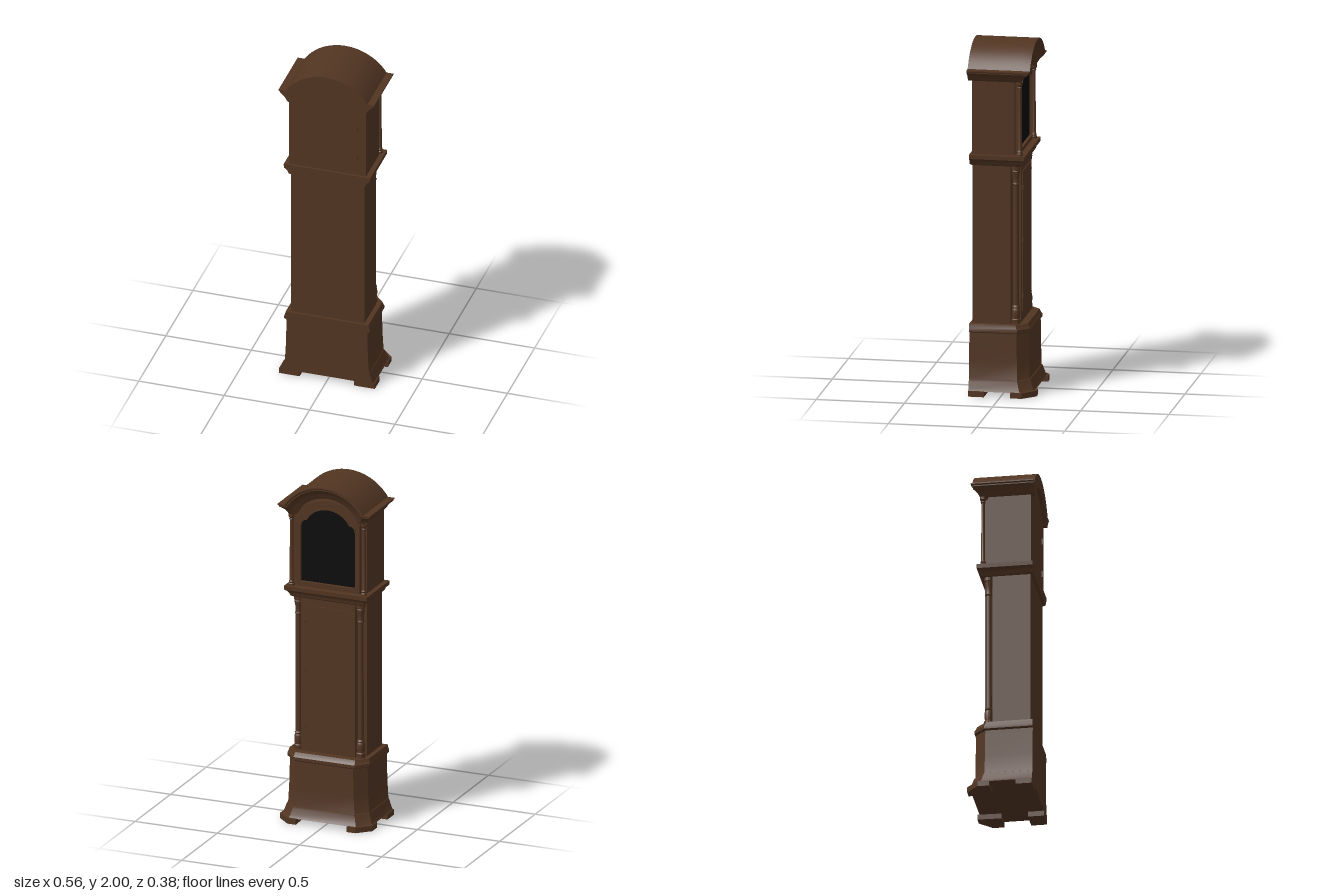
import * as THREE from 'three';
import { toCreasedNormals } from 'three/addons/utils/BufferGeometryUtils.js';

export function createModel() {
  const clock = new THREE.Group();
  clock.name = 'longcaseClock';
  const wood = new THREE.MeshStandardMaterial({ color: 0x523522 });
  wood.name = 'darkWood';
  const glass = new THREE.MeshStandardMaterial({ color: 0x0a0a0a });
  glass.name = 'blackGlass';

  const add = (name, geo, mat = wood) => {
    const mesh = new THREE.Mesh(geo, mat);
    mesh.name = name;
    clock.add(mesh);
    return mesh;
  };
  const box = (name, x0, x1, y0, y1, z0, z1) => {
    const geo = new THREE.BoxGeometry(x1 - x0, y1 - y0, z1 - z0);
    add(name, geo.translate((x0 + x1) / 2, (y0 + y1) / 2, (z0 + z1) / 2));
  };

  // Skin over rows of points; closed rows can be capped at both ends
  const skin = (rows, closed) => {
    const n = rows[0].length, pos = [], idx = [];
    rows.forEach((r) => r.forEach((p) => pos.push(...p)));
    for (let k = 0; k < rows.length - 1; k++) {
      for (let j = 0; j < (closed ? n : n - 1); j++) {
        const a = k * n + j, b = k * n + (j + 1) % n;
        idx.push(a, b, b + n, a, b + n, a + n);
      }
    }
    if (closed) {
      const t = (rows.length - 1) * n;
      for (let i = 1; i < n - 1; i++) idx.push(t, t + i, t + i + 1, 0, i + 1, i);
    }
    const geo = new THREE.BufferGeometry();
    geo.setAttribute('position', new THREE.Float32BufferAttribute(pos, 3));
    geo.setIndex(idx);
    return toCreasedNormals(geo, 0.5);
  };
  // Stack of footprints with chamfered face corners: [y, x, zFace, zRear, chamfer]
  const loft = (name, levels) => add(name, skin(levels.map(([y, x, zf, zb, c]) => [
    [x, y, zb], [x, y, zf + c], [x - c, y, zf], [c - x, y, zf], [-x, y, zf + c], [-x, y, zb],
  ]), true));

  const toShape = (pts) => new THREE.Shape(pts.map(([x, y]) => new THREE.Vector2(x, y)));
  const extrude = (shape, z0, z1) => toCreasedNormals(
    new THREE.ExtrudeGeometry(shape, { depth: z1 - z0, bevelEnabled: false }).translate(0, 0, z0), 0.5);
  // Upright prism from a footprint of [x, z] points
  const prism = (pts, y0, y1) => new THREE.ExtrudeGeometry(
    toShape(pts.map(([x, z]) => [x, -z])), { depth: y1 - y0, bevelEnabled: false })
    .rotateX(-Math.PI / 2).translate(0, y0, 0);
  // Arch with level shoulders, running from +x to -x
  const arch = (half, a, y, rise, n = 24) => {
    const R = (a * a + rise * rise) / (2 * rise), t = Math.asin(a / R), pts = [[half, y]];
    for (let i = 0; i <= n; i++) {
      const q = t * (1 - 2 * i / n);
      pts.push([R * Math.sin(q), y + rise - R + R * Math.cos(q)]);
    }
    pts.push([-half, y]);
    return pts;
  };

  // Bracket feet
  for (const s of [1, -1]) {
    add('faceFoot', prism([[0.16, -0.06], [0.28, -0.06], [0.28, -0.125], [0.207, -0.195], [0.155, -0.195]]
      .map(([x, z]) => [s * x, z]), 0, 0.032));
    box('rearFoot', s > 0 ? 0.16 : -0.28, s > 0 ? 0.28 : -0.16, 0, 0.032, 0.09, 0.18);
  }

  // Plinth with flared skirt and top moulding
  loft('plinth', [
    [0.03, 0.274, -0.183, 0.18, 0.069], [0.045, 0.265, -0.172, 0.18, 0.067],
    [0.08, 0.254, -0.162, 0.18, 0.065], [0.092, 0.249, -0.158, 0.18, 0.065],
    [0.094, 0.246, -0.153, 0.18, 0.062], [0.2, 0.24, -0.152, 0.18, 0.062],
    [0.365, 0.236, -0.15, 0.18, 0.062],
  ]);
  loft('plinthMoulding', [
    [0.36, 0.238, -0.151, 0.18, 0.062], [0.366, 0.25, -0.157, 0.18, 0.064],
    [0.384, 0.25, -0.157, 0.18, 0.064], [0.392, 0.246, -0.15, 0.18, 0.062],
    [0.41, 0.242, -0.142, 0.18, 0.06],
  ]);

  // Trunk with notched face corners
  const side = [[0.215, 0.165], [0.215, -0.05], [0.19, -0.05], [0.165, -0.075], [0.165, -0.1]];
  add('trunk', prism([...side, ...side.map(([x, z]) => [-x, z]).reverse()], 0.405, 1.325));
  box('trunkDoor', -0.135, 0.135, 0.47, 1.27, -0.105, -0.09);
  for (const y of [0.56, 0.88, 1.18]) box('trunkDoorHinge', 0.132, 0.142, y - 0.012, y + 0.012, -0.109, -0.095);

  // Columns set into the trunk corners, and free columns on the hood
  const lathe = (pts, seg) => toCreasedNormals(
    new THREE.LatheGeometry(pts.map(([r, y]) => new THREE.Vector2(r, y)), seg), 0.5);
  const trunkColumn = lathe([
    [0, 0.41], [0.026, 0.41], [0.026, 0.435], [0.021, 0.44], [0.024, 0.46], [0.023, 0.49], [0.018, 0.5],
    [0.022, 0.507], [0.017, 0.515], [0.016, 1.205], [0.021, 1.212], [0.017, 1.22], [0.018, 1.25],
    [0.024, 1.285], [0.021, 1.29], [0.026, 1.295], [0.026, 1.32], [0, 1.32],
  ], 16);
  const hoodColumn = lathe([
    [0, 1.375], [0.018, 1.375], [0.018, 1.39], [0.013, 1.395], [0.016, 1.403], [0.011, 1.412],
    [0.01, 1.765], [0.014, 1.77], [0.011, 1.777], [0.017, 1.787], [0.017, 1.803], [0, 1.803],
  ], 14);
  for (const s of [1, -1]) {
    add('trunkColumn', trunkColumn).position.set(s * 0.189, 0, -0.076);
    add('hoodColumn', hoodColumn).position.set(s * 0.22, 0, -0.103);
  }

  // Waist moulding carrying the hood
  loft('waistMoulding', [
    [1.315, 0.217, -0.106, 0.168, 0.002], [1.322, 0.224, -0.115, 0.18, 0.002],
    [1.335, 0.229, -0.118, 0.18, 0.002], [1.35, 0.24, -0.126, 0.18, 0.002],
    [1.356, 0.252, -0.135, 0.18, 0.002], [1.38, 0.253, -0.136, 0.18, 0.002],
  ]);

  // Hood case with arched top
  const innerArch = arch(0.225, 0.195, 1.8, 0.12);
  add('hoodCase', extrude(toShape([[-0.225, 1.375], [0.225, 1.375], ...innerArch]), -0.075, 0.167));
  for (const y of [1.49, 1.69]) box('rearHinge', 0.165, 0.175, y - 0.018, y + 0.018, 0.165, 0.173);

  // Hood door: arched frame, bead and glass
  const opening = [[-0.165, 1.41], [0.165, 1.41], [0.165, 1.735], [0.16, 1.757], [0.148, 1.77],
    ...arch(0.135, 0.13, 1.775, 0.075, 16), [-0.148, 1.77], [-0.16, 1.757], [-0.165, 1.735]];
  const frame = toShape([[-0.192, 1.38], [0.192, 1.38], ...arch(0.192, 0.185, 1.79, 0.115)]);
  frame.holes.push(new THREE.Path(opening.map(([x, y]) => new THREE.Vector2(x, y))));
  add('hoodDoorFrame', extrude(frame, -0.1, -0.074));
  add('glass', extrude(toShape(opening), -0.088, -0.083), glass);
  const bead = toShape(opening.map(([x, y]) => [x * 1.04, 1.61 + (y - 1.61) * 1.04]));
  bead.holes.push(new THREE.Path(opening.map(([x, y]) => new THREE.Vector2(x, y))));
  add('glassBead', extrude(bead, -0.105, -0.099));

  // Crown cornice: [outward, upward] profile shared by the sides and the arch
  const profile = [[0, 0], [0.006, 0.006], [0.012, 0.016], [0.024, 0.034], [0.038, 0.046],
    [0.047, 0.052], [0.047, 0.058], [0.055, 0.063], [0.055, 0.07]];
  const outerArch = arch(0.28, 0.24, 1.87, 0.13);
  const right = profile.slice(1, -1).map(([o, u]) => [0.225 + o, 1.8 + u]);
  const left = right.map(([x, y]) => [-x, y]);
  add('crown', extrude(toShape([...outerArch, ...left.reverse(), ...innerArch.slice().reverse(), ...right]),
    -0.115, 0.189));
  const zRoot = -0.113;
  const rows = profile.map(([o, u]) => {
    const t = u / 0.07, half = 0.225 + o, z = zRoot - o * 0.93;
    const pts = arch(half, 0.195 + 0.045 * t, 1.8 + u, 0.12 + 0.01 * t).map(([x, y]) => [x, y, z]);
    return [[half, 1.8 + u, zRoot], ...pts, [-half, 1.8 + u, zRoot]];
  });
  rows.push(rows[rows.length - 1].map(([x, y]) => [x, y, zRoot]));
  add('crownFaceMoulding', skin(rows, false));

  return clock;
}
